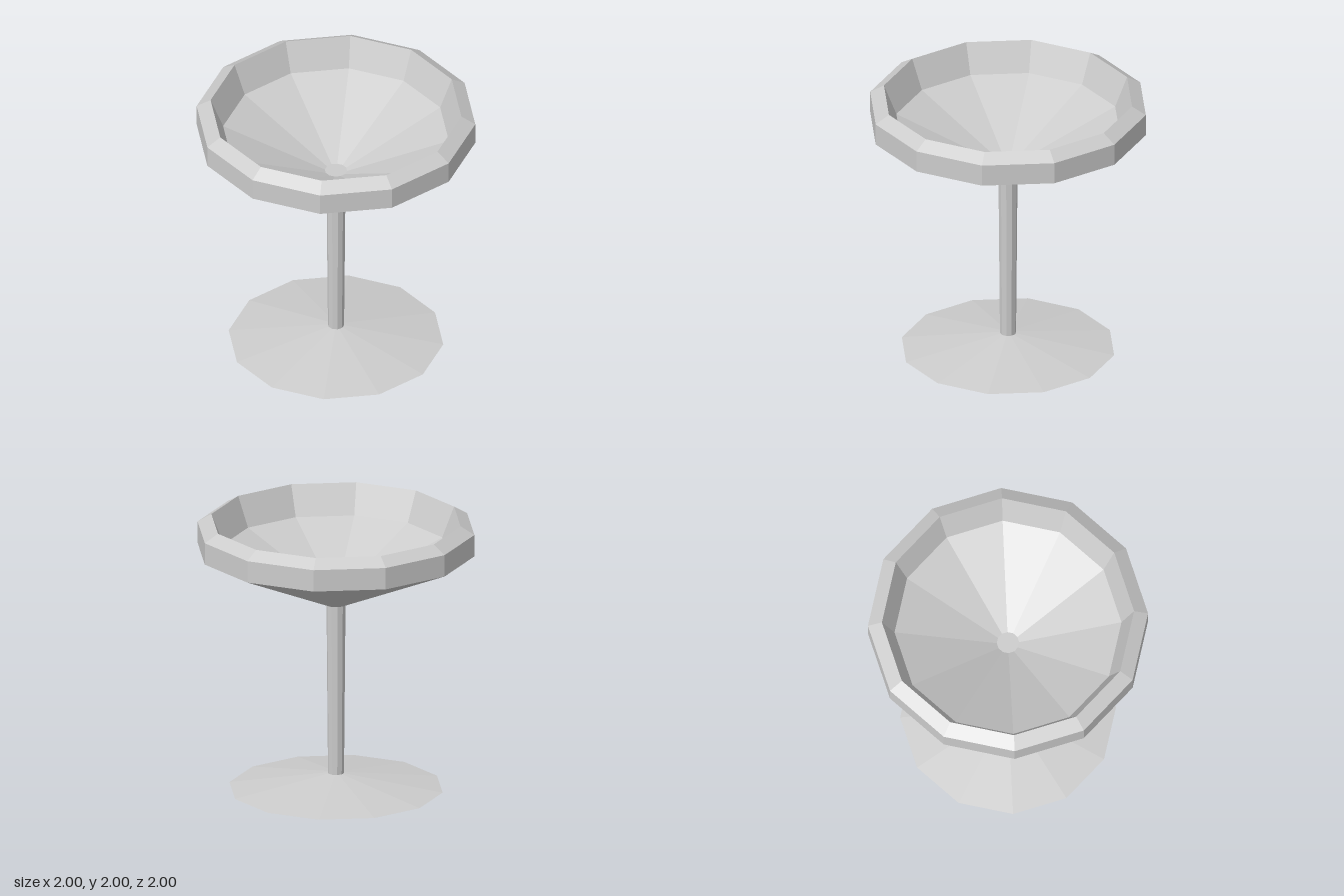
import * as THREE from 'three';

const SIDES = 12;

export function createModel() {
  const group = new THREE.Group();
  const material = new THREE.MeshStandardMaterial({ color: 0xcccccc, flatShading: true });

  const add = (name, geometry) => {
    const mesh = new THREE.Mesh(geometry, material);
    mesh.name = name;
    group.add(mesh);
    return mesh;
  };
  // Faceted solid of revolution, profile runs up the outside first
  const turned = (name, profile) =>
    add(name, new THREE.LatheGeometry(profile.map(([r, y]) => new THREE.Vector2(r, y)), SIDES));

  // Wide conical foot with a closed underside
  turned('foot', [[0, 0], [0.77, 0], [0.058, 0.11], [0, 0.11]]);

  // Slim stem, slightly wider at the top
  const stem = add('stem', new THREE.CylinderGeometry(0.069, 0.058, 1.28, 10));
  stem.position.y = 0.75;
  stem.rotation.y = Math.PI / 2;

  // Thick-walled bowl: outer cone, upright band, bevelled rim, inner wall, inner cone, small floor
  turned('bowl', [
    [0, 1.37], [0.07, 1.37], [1, 1.78], [1, 1.94], [0.9, 2],
    [0.81, 1.78], [0.08, 1.46], [0, 1.46],
  ]);

  return group;
}
